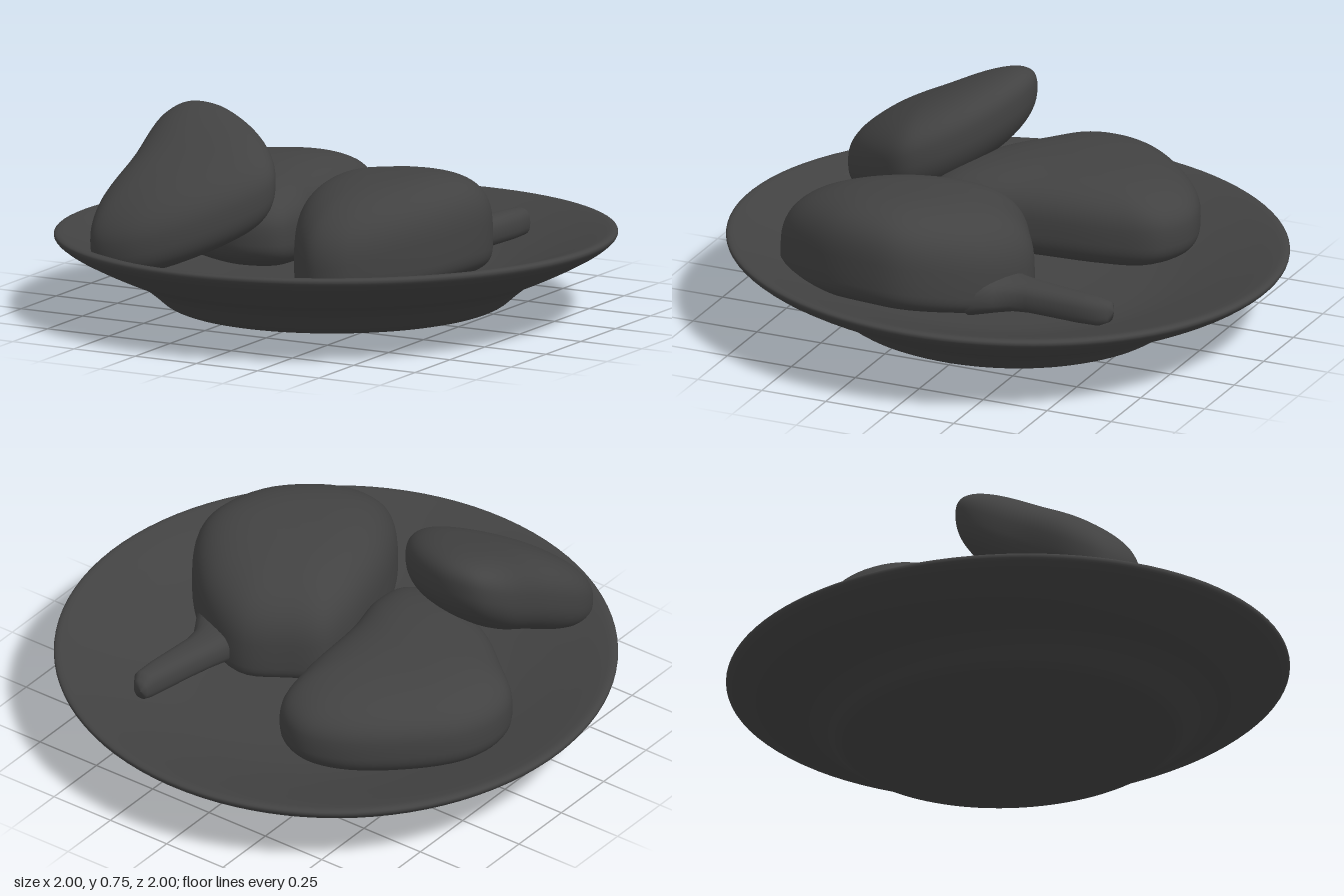
import * as THREE from 'three';
import { mergeVertices } from 'three/addons/utils/BufferGeometryUtils.js';

const material = new THREE.MeshStandardMaterial({ color: 0x424242 });

function part(name, geometry) {
  const mesh = new THREE.Mesh(geometry, material);
  mesh.name = name;
  return mesh;
}

// Rounded lump: a sphere stretched to a plan outline of [x, z] points.
// midY(x, z) is the middle surface, up / down the thickness either side,
// power below 1 makes the section boxier.
function lump(name, outline, midY, up, down, powerUp, powerDown) {
  const curve = new THREE.CatmullRomCurve3(
    outline.map(([x, z]) => new THREE.Vector3(x, 0, z)), true);
  const centre = new THREE.Vector3();
  curve.getSpacedPoints(64).slice(1).forEach(p => centre.addScaledVector(p, 1 / 64));

  const geometry = new THREE.SphereGeometry(1, 64, 36);
  const pos = geometry.attributes.position;
  const uv = geometry.attributes.uv;
  for (let i = 0; i < pos.count; i++) {
    const s = THREE.MathUtils.clamp(pos.getY(i), -1, 1);
    const power = s > 0 ? powerUp : powerDown;
    const reach = Math.pow(Math.sqrt(Math.max(0, 1 - s * s)), power);
    const rise = Math.sign(s) * Math.pow(Math.abs(s), power);
    const u = ((1 - uv.getX(i)) % 1 + 1) % 1;
    const p = curve.getPoint(u).sub(centre).multiplyScalar(reach).add(centre);
    pos.setXYZ(i, p.x, midY(p.x, p.z) + rise * (s > 0 ? up : down), p.z);
  }
  geometry.deleteAttribute('normal');
  geometry.deleteAttribute('uv');
  const smooth = mergeVertices(geometry, 1e-4);
  smooth.computeVertexNormals();
  return part(name, smooth);
}

function makePlate() {
  // Underside from the centre out, over the rim, then back along the dish
  const profile = [
    [0, 0.016], [0.3, 0.016], [0.52, 0.022], [0.6, 0.045], [0.65, 0.085],
    [0.7, 0.122], [0.8, 0.167], [0.9, 0.215], [0.97, 0.256], [1, 0.285],
    [1, 0.298], [0.985, 0.304], [0.95, 0.297], [0.85, 0.264],
    [0.72, 0.22], [0.6, 0.185], [0.48, 0.165], [0.25, 0.155], [0, 0.155],
  ].map(([r, y]) => new THREE.Vector3(r, y, 0));
  const points = new THREE.CatmullRomCurve3(profile, false, 'centripetal')
    .getPoints(72).map(p => new THREE.Vector2(Math.max(0, p.x), p.y));
  const plate = part('plate', new THREE.LatheGeometry(points, 96));
  plate.rotation.set(-0.025, 0, 0.02);
  plate.position.set(0.006, 0, 0.007);
  return plate;
}

// Tapered stem with a softly rounded section and tip
function makeStem() {
  const rings = [ // x, y, z, half width, half height
    [0.385, 0.28, -0.08, 0.17, 0.09], [0.385, 0.275, -0.17, 0.115, 0.068],
    [0.39, 0.275, -0.22, 0.08, 0.06], [0.395, 0.275, -0.28, 0.067, 0.056],
    [0.41, 0.275, -0.38, 0.059, 0.054], [0.423, 0.275, -0.48, 0.053, 0.053],
    [0.43, 0.275, -0.56, 0.045, 0.05], [0.42, 0.275, -0.595, 0.03, 0.036],
    [0.412, 0.275, -0.605, 0.001, 0.001],
  ];
  const sides = 24, vertices = [], index = [];
  rings.forEach(([x, y, z, w, h], r) => {
    for (let k = 0; k < sides; k++) {
      const a = k / sides * Math.PI * 2;
      const c = Math.cos(a), s = Math.sin(a);
      vertices.push(x + w * Math.sign(c) * Math.abs(c) ** 0.8,
        y + h * Math.sign(s) * Math.abs(s) ** 0.8, z);
      if (r === 0) continue;
      const n = (k + 1) % sides;
      const a0 = (r - 1) * sides + k, a1 = (r - 1) * sides + n;
      const b0 = r * sides + k, b1 = r * sides + n;
      index.push(a0, b0, a1, a1, b0, b1);
    }
  });
  const geometry = new THREE.BufferGeometry();
  geometry.setAttribute('position', new THREE.Float32BufferAttribute(vertices, 3));
  geometry.setIndex(index);
  geometry.computeVertexNormals();
  return part('fruitStem', geometry);
}

export function createModel() {
  const group = new THREE.Group();
  group.name = 'plateOfFood';
  group.add(makePlate());

  // Fruit half with its stem
  group.add(lump('fruit', [
    [-0.01, 0.05], [0.01, -0.07], [0.12, -0.15], [0.27, -0.22], [0.45, -0.17],
    [0.6, -0.05], [0.69, 0.1], [0.69, 0.25], [0.62, 0.46], [0.43, 0.69],
    [0.3, 0.71], [0.2, 0.63], [0.08, 0.43], [0.01, 0.2],
  ], (x, z) => 0.34 + 0.08 * (x - 0.35) - 0.28 * (z - 0.22) ** 2,
  0.25, 0.14, 0.62, 0.5));
  group.add(makeStem());

  // Large piece lying flat
  group.add(lump('largePiece', [
    [-0.79, -0.1], [-0.75, -0.25], [-0.6, -0.43], [-0.42, -0.56], [-0.27, -0.59],
    [-0.14, -0.52], [-0.09, -0.34], [-0.06, 0], [-0.02, 0.2], [-0.05, 0.34],
    [-0.2, 0.39], [-0.45, 0.29], [-0.62, 0.16], [-0.76, 0.03],
  ], () => 0.335, 0.175, 0.155, 0.75, 0.6));

  // Smaller piece leaning on the large one
  group.add(lump('leaningPiece', [
    [-0.59, 0.22], [-0.53, 0.13], [-0.4, 0.115], [-0.2, 0.2], [-0.06, 0.33],
    [-0.02, 0.43], [-0.08, 0.56], [-0.25, 0.73], [-0.4, 0.8], [-0.55, 0.78],
    [-0.6, 0.68], [-0.59, 0.45],
  ], (x, z) => 0.505 - 0.46 * (z - 0.45) + 0.3 * (x + 0.3) * (z - 0.45),
  0.155, 0.18, 0.78, 0.78));

  return group;
}
